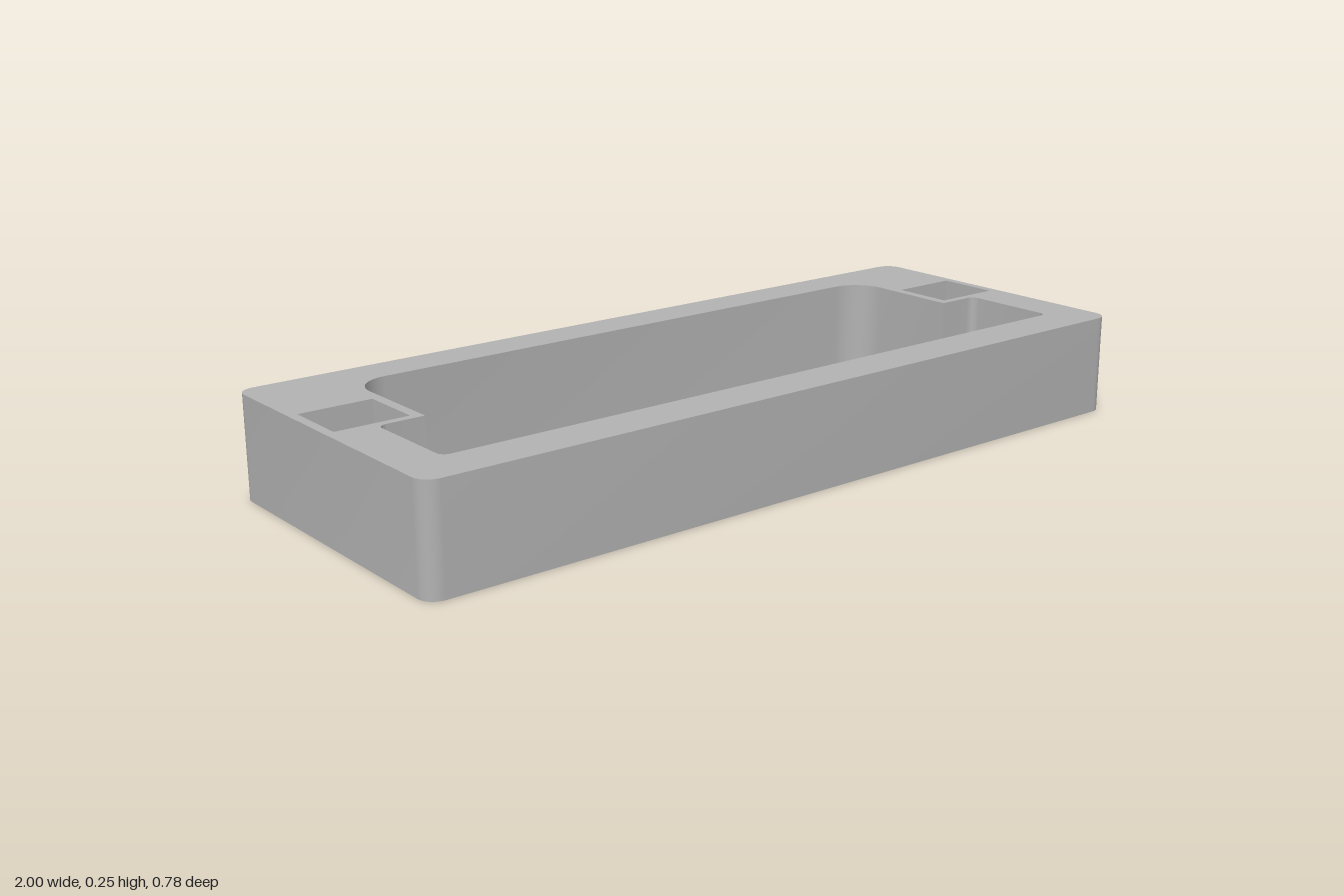
import * as THREE from 'three';
import { mergeGeometries, toCreasedNormals } from 'three/addons/utils/BufferGeometryUtils.js';

const H = 0.245, POCKET_Y = 0.18, NUT_Y = 0.1;
const BOLT_X = 0.89, BOLT_Z = -0.07;

// Closed outline from [x, z, radius] corners; right angles get quarter-circle fillets
function outline(corners) {
  const pts = corners.map(([x, z]) => new THREE.Vector2(x, -z));
  const path = new THREE.Path();
  const n = pts.length;
  pts.forEach((p, i) => {
    const r = corners[i][2] || 0;
    const toward = (q, d) => p.clone().add(q.clone().sub(p).setLength(d));
    const prev = pts[(i + n - 1) % n], next = pts[(i + 1) % n];
    const a = r ? toward(prev, r) : p, b = r ? toward(next, r) : p;
    if (i === 0) path.moveTo(a.x, a.y); else path.lineTo(a.x, a.y);
    if (r) {
      const c = toward(prev, r * 0.448), d = toward(next, r * 0.448);
      path.bezierCurveTo(c.x, c.y, d.x, d.y, b.x, b.y);
    }
  });
  path.closePath();
  const out = path.getPoints(8).filter((p, i, l) => i === 0 || p.distanceTo(l[i - 1]) > 1e-5);
  if (out[0].distanceTo(out[out.length - 1]) < 1e-5) out.pop();
  return out;
}

// Regular polygon loop; six sides gives corners along x
function polygon(cx, cz, r, sides) {
  return Array.from({ length: sides }, (_, i) => {
    const a = (i / sides) * Math.PI * 2;
    return new THREE.Vector2(cx + r * Math.cos(a), -cz + r * Math.sin(a));
  });
}

// Vertical wall along a loop, facing outward, or inward for openings
function wall(loop, y0, y1, inward) {
  const pts = loop.slice();
  if (THREE.ShapeUtils.isClockWise(pts) !== inward) pts.reverse();
  const pos = [];
  pts.forEach((a, i) => {
    const b = pts[(i + 1) % pts.length];
    const a0 = [a.x, y0, -a.y], b0 = [b.x, y0, -b.y];
    const a1 = [a.x, y1, -a.y], b1 = [b.x, y1, -b.y];
    pos.push(...a0, ...b0, ...b1, ...a0, ...b1, ...a1);
  });
  const g = new THREE.BufferGeometry();
  g.setAttribute('position', new THREE.Float32BufferAttribute(pos, 3));
  return toCreasedNormals(g, 0.5);
}

// Horizontal face with holes, facing up or down
function face(loop, holes, y, up) {
  const shape = new THREE.Shape(loop);
  shape.holes = holes.map((h) => new THREE.Path(h));
  const g = new THREE.ShapeGeometry(shape);
  g.rotateX(-Math.PI / 2).translate(0, y, 0);
  if (!up) g.index.array.reverse();
  const flat = g.toNonIndexed();
  flat.deleteAttribute('uv');
  flat.computeVertexNormals();
  return flat;
}

export function createModel() {
  const group = new THREE.Group();
  group.name = 'mountingFrame';
  const grey = new THREE.MeshStandardMaterial({ color: 0xb2b2b2 });
  grey.name = 'plainGrey';
  const add = (name, parts, parent = group) => {
    const m = new THREE.Mesh(mergeGeometries(parts), grey);
    m.name = name;
    parent.add(m);
  };

  // Frame outline and stepped central opening
  const outer = outline([[-1, 0.39, 0.04], [1, 0.39, 0.04], [1, -0.39, 0.04], [-1, -0.39, 0.04]]);
  const opening = outline([
    [-0.89, 0.278, 0.02], [0.89, 0.278, 0.02], [0.89, 0.03, 0.02], [0.778, 0.03],
    [0.778, -0.286, 0.085], [-0.778, -0.286, 0.085], [-0.778, 0.03], [-0.89, 0.03, 0.02],
  ]);

  // Bolt seats: square pocket above, round bore, hexagonal nut recess below
  const seats = [-1, 1].map((s) => ({
    side: s < 0 ? 'right' : 'left',
    pocket: outline([[s * 0.978, 0.01], [s * 0.802, 0.01], [s * 0.802, -0.147], [s * 0.978, -0.147]]),
    bore: polygon(s * BOLT_X, BOLT_Z, 0.038, 32),
    nut: polygon(s * BOLT_X, BOLT_Z, 0.07, 6),
  }));

  add('outerWall', [wall(outer, 0, H, false)]);
  add('openingWall', [wall(opening, 0, H, true)]);
  add('topFace', [face(outer, [opening, ...seats.map((s) => s.pocket)], H, true)]);
  add('bottomFace', [face(outer, [opening, ...seats.map((s) => s.nut)], 0, false)]);

  for (const { side, pocket, bore, nut } of seats) {
    const seat = new THREE.Group();
    seat.name = side + 'BoltSeat';
    group.add(seat);
    add('squarePocket', [wall(pocket, POCKET_Y, H, true), face(pocket, [bore], POCKET_Y, true)], seat);
    add('boltBore', [wall(bore, NUT_Y, POCKET_Y, true)], seat);
    add('nutRecess', [wall(nut, 0, NUT_Y, true), face(nut, [bore], NUT_Y, false)], seat);
  }
  return group;
}
